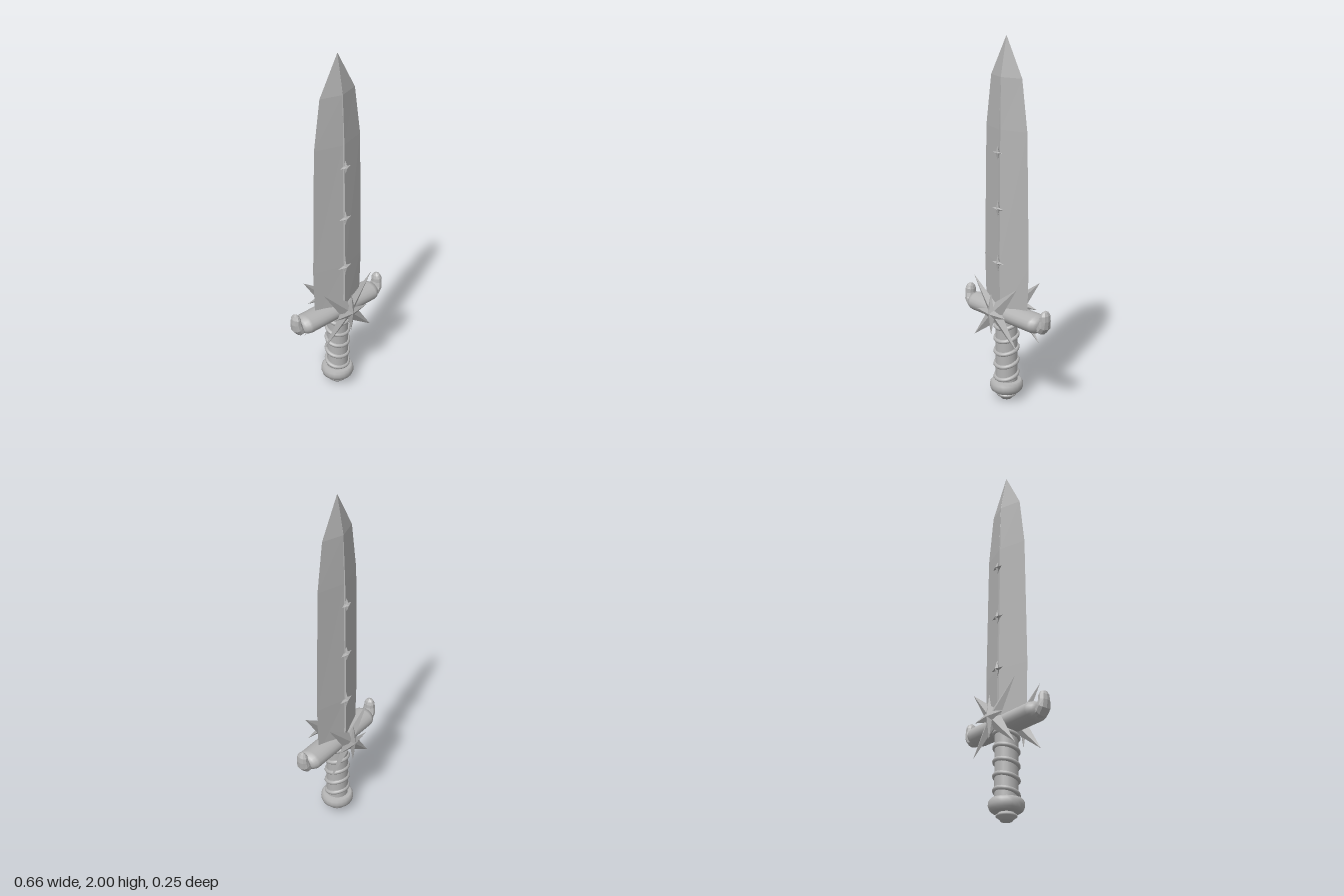
import * as THREE from 'three';

// Flat-shaded soup of triangles from a list of Vector3 triples
function facets(tris) {
  const g = new THREE.BufferGeometry().setFromPoints(tris.flat());
  g.computeVertexNormals();
  return g;
}

// Skin closed rings of equal length; rings run counter-clockwise seen from the end they advance towards
function skin(rings, capStart) {
  const tris = [];
  for (let k = 0; k < rings.length - 1; k++) {
    const a = rings[k], b = rings[k + 1], n = a.length;
    for (let i = 0; i < n; i++) {
      const j = (i + 1) % n;
      tris.push([a[i], a[j], b[j]], [a[i], b[j], b[i]]);
    }
  }
  if (capStart) {
    const c = new THREE.Vector3();
    rings[0].forEach(p => c.addScaledVector(p, 1 / rings[0].length));
    rings[0].forEach((p, i, r) => tris.push([c, r[(i + 1) % r.length], p]));
  }
  return facets(tris);
}

// Four-pointed faceted star, raised on both sides
function star(outer, inner, depth) {
  const pts = [], tris = [];
  for (let i = 0; i < 8; i++) {
    const r = i % 2 ? inner : outer, a = i * Math.PI / 4;
    pts.push(new THREE.Vector3(r * Math.cos(a), r * Math.sin(a), 0));
  }
  const front = new THREE.Vector3(0, 0, depth), back = new THREE.Vector3(0, 0, -depth);
  pts.forEach((p, i) => {
    const q = pts[(i + 1) % 8];
    tris.push([front, p, q], [back, q, p]);
  });
  return facets(tris);
}

const lathe = (profile, sides) =>
  new THREE.LatheGeometry(profile.map(([r, y]) => new THREE.Vector2(r, y)), sides);

export function createModel() {
  const group = new THREE.Group();
  const steel = new THREE.MeshStandardMaterial({ color: 0xb4b4b4 });
  steel.name = 'steel';
  const add = (name, geometry, x = 0, y = 0, z = 0) => {
    const m = new THREE.Mesh(geometry, steel);
    m.name = name;
    m.position.set(x, y, z);
    group.add(m);
    return m;
  };

  // Blade: diamond section with a narrow central groove [y, half width, half thickness, groove half width, groove depth]
  const blade = [
    [0.5, 0.165, 0.054, 0.007, 0.016],
    [0.8, 0.176, 0.055, 0.007, 0.016],
    [1.52, 0.16, 0.047, 0.005, 0.012],
    [1.79, 0.12, 0.038, 0.001, 0.001],
    [2.0, 0, 0, 0, 0],
  ].map(([y, w, d, g, n]) => [
    [w, 0], [g, -d], [0, n - d], [-g, -d], [-w, 0], [-g, d], [0, d - n], [g, d],
  ].map(([x, z]) => new THREE.Vector3(x, y, z)));
  add('blade', skin(blade, true));

  // Stars on both faces of the blade and guard
  for (const s of [1, -1]) {
    [[0.8, 0.05], [1.1, 0.044], [1.4, 0.038]].forEach(([y, r]) =>
      add('bladeStar', star(r, r * 0.24, 0.015), 0, y, s * 0.061));
    add('guardStarLarge', star(0.248, 0.058, 0.026), 0, 0.525, s * 0.082).rotation.z = Math.PI / 4;
    add('guardStarSmall', star(0.12, 0.034, 0.016), 0, 0.525, s * 0.111);
  }

  // Guard: oval bar with rounded ends
  const guard = add('guard', lathe([
    [0, -0.28], [0.034, -0.278], [0.052, -0.268], [0.065, -0.25], [0.069, -0.235],
    [0.069, 0.235], [0.065, 0.25], [0.052, 0.268], [0.034, 0.278], [0, 0.28],
  ], 20), 0, 0.508, 0);
  guard.rotation.z = Math.PI / 2;
  guard.scale.x = 0.75;

  // Upturned horns at the guard ends [x, y, radius, path angle]
  const hornPath = [
    [0.255, 0.487, 0.026, 0], [0.283, 0.492, 0.036, 0.45], [0.3, 0.515, 0.036, 1.0],
    [0.305, 0.545, 0.031, 1.5], [0.304, 0.57, 0.029, 1.75], [0.302, 0.588, 0.02, 1.9],
    [0.301, 0.599, 0.002, 1.9],
  ];
  for (const s of [1, -1]) {
    const rings = hornPath.map(([x, y, r, a]) => Array.from({ length: 10 }, (_, i) => {
      const t = s * i * Math.PI / 5, u = r * 0.85 * Math.cos(t);
      return new THREE.Vector3(s * (x - u * Math.sin(a)), y + u * Math.cos(a), r * 1.1 * Math.sin(t));
    }));
    add(s > 0 ? 'hornLeft' : 'hornRight', skin(rings, true));
  }

  // Grip with tilted binding rings
  add('grip', new THREE.CylinderGeometry(0.061, 0.061, 0.38, 20), 0, 0.29, 0);
  for (let i = 0; i < 5; i++) {
    const ring = add('gripRing', new THREE.TorusGeometry(0.062, 0.012, 8, 24), 0, 0.145 + i * 0.075, 0);
    ring.rotation.x = Math.PI / 2 + 0.28;
  }

  // Pommel with a small end button
  add('pommel', lathe([
    [0, 0.044], [0.072, 0.046], [0.086, 0.058], [0.093, 0.078], [0.091, 0.1], [0.08, 0.114], [0, 0.116],
  ], 20));
  add('pommelButton', lathe([
    [0, 0], [0.03, 0.002], [0.036, 0.012], [0.054, 0.024], [0.054, 0.034], [0.04, 0.04], [0.04, 0.05],
  ], 20));

  return group;
}
